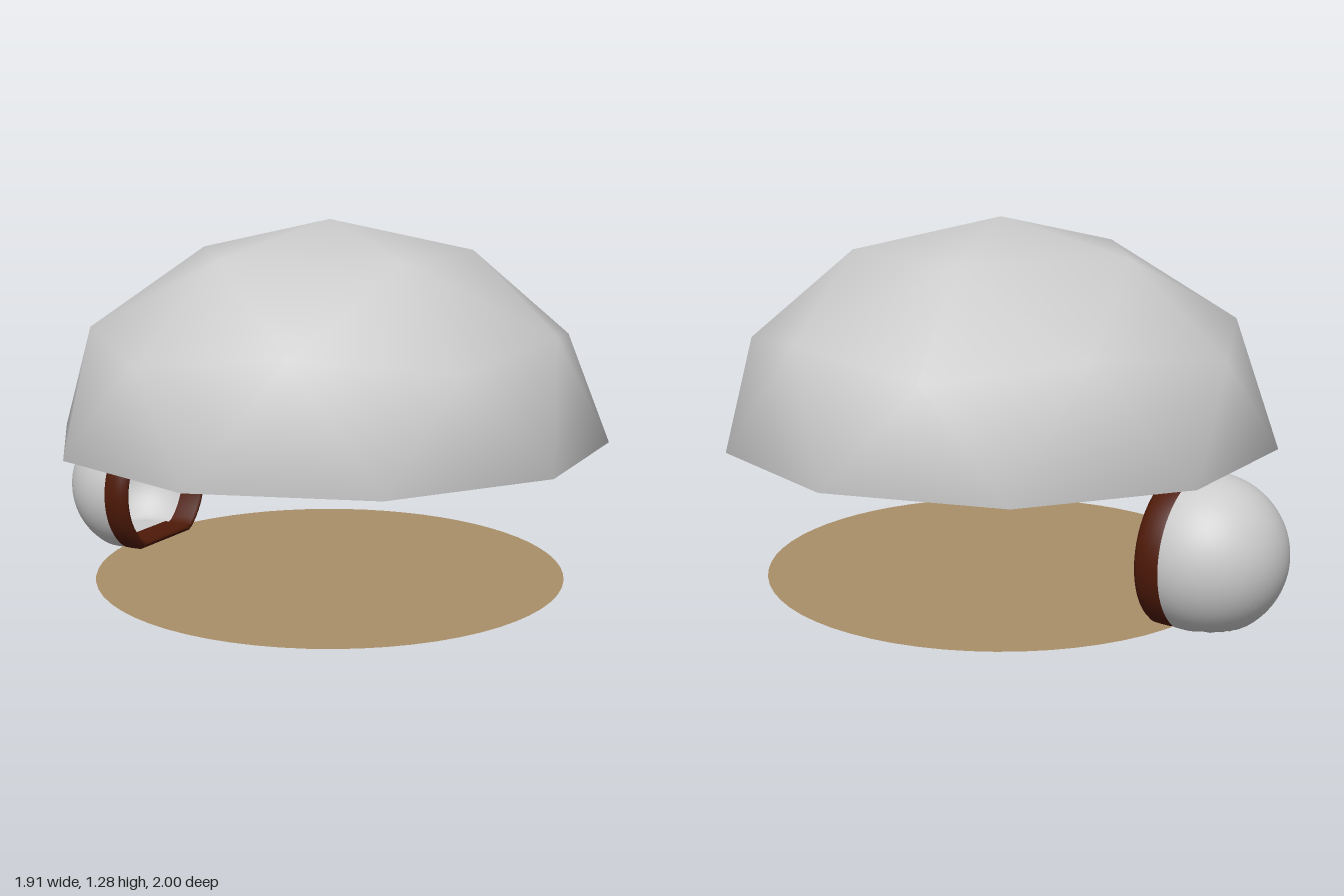
import * as THREE from 'three';
import { toCreasedNormals } from 'three/addons/utils/BufferGeometryUtils.js';

const grey = new THREE.MeshStandardMaterial({ color: 0xcccccc });
const greyOpen = new THREE.MeshStandardMaterial({ color: 0xcccccc, side: THREE.DoubleSide });
const brown = new THREE.MeshStandardMaterial({ color: 0x4e1a08 });
const tan = new THREE.MeshStandardMaterial({ color: 0xa98f69, side: THREE.DoubleSide });
const rad = THREE.MathUtils.degToRad;

const DOME = { base: 0.51, height: 0.77, width: 0.991, inner: 0.92 };
const HELMET = { radius: 0.27, inner: 0.238, x: -0.637, y: 0.22, z: -0.58, turn: Math.atan2(0.748, 0.667) };

function part(name, geometry, material) {
  const mesh = new THREE.Mesh(geometry, material);
  mesh.name = name;
  return mesh;
}

// Upper half of a once-divided icosahedron, smooth shaded
function domeShell(scale, inward) {
  const unit = (polar, azimuth) => {
    const p = rad(polar), a = rad(azimuth);
    return new THREE.Vector3(Math.sin(p) * Math.sin(a), Math.cos(p), -Math.sin(p) * Math.cos(a));
  };
  const positions = [], normals = [];
  const size = new THREE.Vector3(DOME.width, DOME.height, 1);
  const sign = inward ? -1 : 1;
  const face = (...corners) => {
    if (!inward) corners.reverse();
    for (const c of corners) {
      positions.push(...c.clone().multiply(size).multiplyScalar(scale).toArray());
      normals.push(...c.clone().divide(size).normalize().multiplyScalar(sign).toArray());
    }
  };
  const top = unit(0, 0);
  for (let k = 0; k < 5; k++) {
    const a = 21 + 72 * k;
    const upper = unit(31.72, a), upperNext = unit(31.72, a + 72);
    const low = unit(63.43, a), lowNext = unit(63.43, a + 72), mid = unit(58.28, a + 36);
    const e0 = unit(90, a - 18), e1 = unit(90, a + 18), e2 = unit(90, a + 54);
    face(top, upper, upperNext);
    face(upper, low, mid);
    face(upper, mid, upperNext);
    face(upperNext, mid, lowNext);
    face(low, e1, mid);
    face(mid, e1, e2);
    face(mid, e2, lowNext);
    face(low, e0, e1);
  }
  const g = new THREE.BufferGeometry();
  g.setAttribute('position', new THREE.Float32BufferAttribute(positions, 3));
  g.setAttribute('normal', new THREE.Float32BufferAttribute(normals, 3));
  return g;
}

// Lathe around the helmet's facing axis, flattened underneath by a floor rule
function helmetLathe(points, floorAt) {
  const g = new THREE.LatheGeometry(points.map(([r, h]) => new THREE.Vector2(r, h)), 72);
  g.rotateX(Math.PI / 2);
  const p = g.attributes.position;
  for (let i = 0; i < p.count; i++) {
    const floor = floorAt(Math.hypot(p.getX(i), p.getY(i))) - HELMET.y;
    p.setY(i, Math.max(p.getY(i), floor));
  }
  g.rotateY(HELMET.turn);
  g.translate(HELMET.x, HELMET.y, HELMET.z);
  return toCreasedNormals(g, rad(50));
}

// Sphere profile from the back pole to the opening
function arc(radius, end, steps = 28) {
  const last = Math.acos(-end / radius);
  return Array.from({ length: steps + 1 }, (_, i) => {
    const t = last * i / steps;
    return [radius * Math.sin(t), -radius * Math.cos(t)];
  });
}

export function createModel() {
  const model = new THREE.Group();

  // Dome: an open outer shell over a slightly raised and tilted lining
  const dome = new THREE.Group();
  dome.name = 'dome';
  dome.position.y = DOME.base;
  const lining = part('domeLining', domeShell(DOME.inner, true), greyOpen);
  lining.position.y = 0.03;
  lining.rotation.set(-0.028, 0, 0.014);
  dome.add(part('domeOuter', domeShell(1, false), greyOpen), lining);
  model.add(dome);

  // Round floor
  const floor = part('floor', new THREE.CircleGeometry(0.85, 64).rotateX(-Math.PI / 2), tan);
  floor.position.y = 0.003;
  model.add(floor);

  // Hollow round helmet, its opening turned to the middle of the floor
  const helmet = new THREE.Group();
  helmet.name = 'helmet';
  const R = HELMET.radius;
  const band = [
    [0.238, 0.012], [0.256, 0.008], [0.266, 0.018], [0.271, 0.04], [0.272, 0.075],
    [0.269, 0.105], [0.261, 0.12], [0.25, 0.125], [0.24, 0.12], [0.236, 0.105], [0.238, 0.012]
  ];
  helmet.add(
    part('helmetShell', helmetLathe(arc(R, 0.04), () => 0), grey),
    part('helmetLining', helmetLathe(arc(HELMET.inner, 0.03).reverse(), () => R - HELMET.inner), grey),
    part('openingBand', helmetLathe(band, (r) => Math.max(0, R - r)), brown)
  );
  model.add(helmet);

  return model;
}
